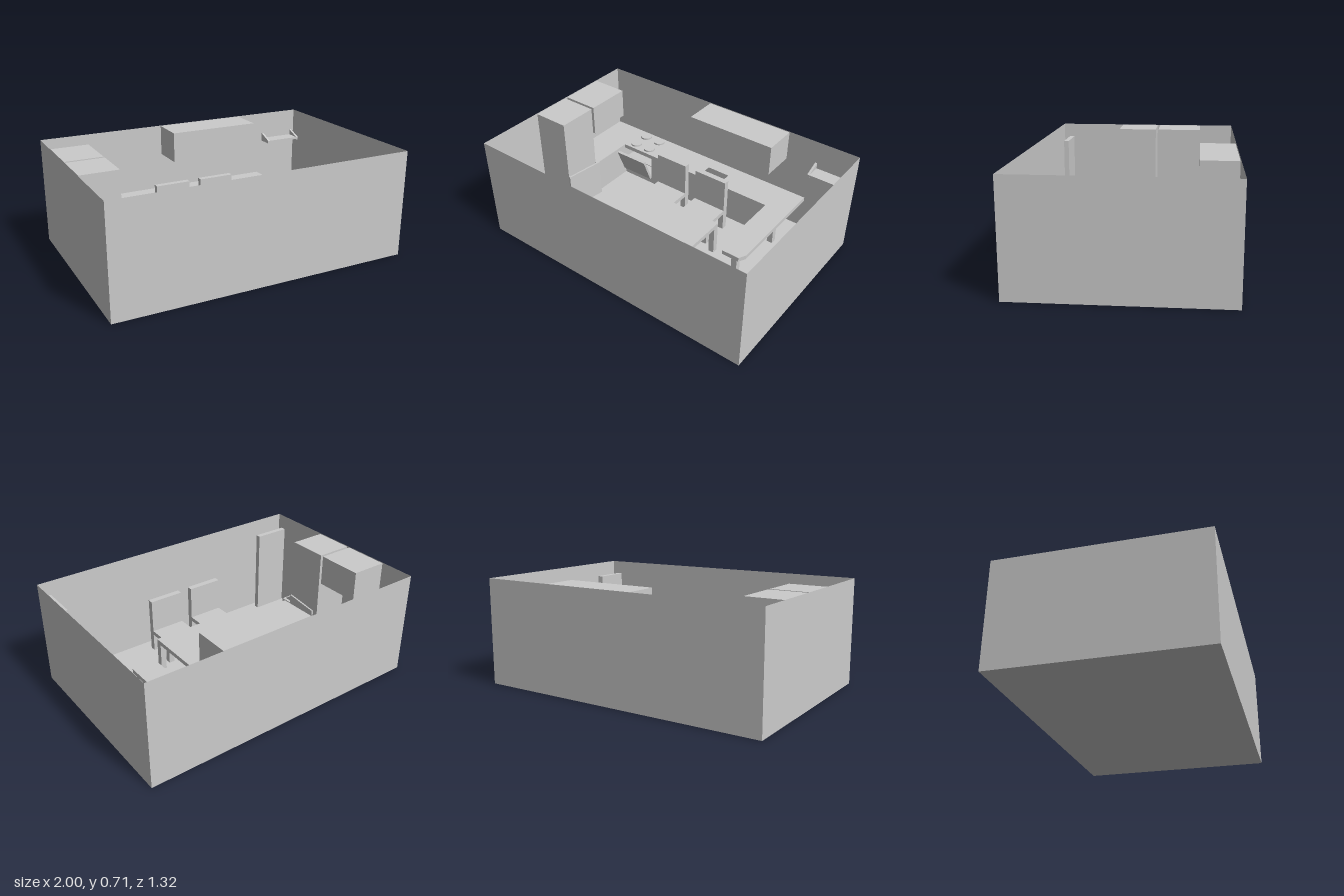
import * as THREE from 'three';

const grey = new THREE.MeshStandardMaterial({ color: 0xcccccc });
const thin = new THREE.MeshStandardMaterial({ color: 0xcccccc, side: THREE.DoubleSide });
const blue = new THREE.MeshStandardMaterial({ color: 0x0000ff });

function add(parent, name, geo, mat = grey) {
  const mesh = new THREE.Mesh(geo, mat);
  mesh.name = name;
  parent.add(mesh);
  return mesh;
}

function group(parent, name) {
  const g = new THREE.Group();
  g.name = name;
  parent.add(g);
  return g;
}

// Box given by its limits on each axis
function box(parent, name, x0, x1, y0, y1, z0, z1) {
  const geo = new THREE.BoxGeometry(x1 - x0, y1 - y0, z1 - z0);
  geo.translate((x0 + x1) / 2, (y0 + y1) / 2, (z0 + z1) / 2);
  return add(parent, name, geo);
}

// Upright prism from a plan outline of [x, z] points, with optional holes
function prism(parent, name, points, y0, y1, holes = []) {
  const toVectors = (list) => list.map(([x, z]) => new THREE.Vector2(x, -z));
  const shape = new THREE.Shape(toVectors(points));
  holes.forEach((h) => shape.holes.push(new THREE.Path(toVectors(h))));
  const geo = new THREE.ExtrudeGeometry(shape, { depth: y1 - y0, bevelEnabled: false });
  geo.rotateX(-Math.PI / 2).translate(0, y0, 0);
  return add(parent, name, geo);
}

const rect = (x0, x1, z0, z1) => [[x0, z0], [x1, z0], [x1, z1], [x0, z1]];

function wall(parent, name, width, x, z, turn) {
  const mesh = add(parent, name, new THREE.PlaneGeometry(width, 0.715), thin);
  mesh.position.set(x, 0.3575, z);
  mesh.rotation.y = turn;
}

// Four square legs inside a rectangle
function legs(parent, x0, x1, z0, z1, h) {
  for (const x of [x0, x1 - 0.04])
    for (const z of [z0, z1 - 0.04]) box(parent, 'leg', x, x + 0.04, 0, h, z, z + 0.04);
}

// Chair centred on x; dir is the side its back is on
function chair(parent, x, z, dir) {
  const g = group(parent, 'chair');
  const s = 0.1225;
  legs(g, -s, s, -s, s, 0.13);
  box(g, 'chairSeat', -s, s, 0.13, 0.16, -s, s);
  box(g, 'chairBack', -s, s, 0.16, 0.395, s - 0.04, s);
  g.position.set(x, 0, z);
  if (dir < 0) g.rotation.y = Math.PI;
}

export function createModel() {
  const room = new THREE.Group();
  room.name = 'kitchen';

  // Room shell, open at the top
  const shell = group(room, 'roomShell');
  const floor = add(shell, 'floor', new THREE.PlaneGeometry(2, 1.32), thin);
  floor.rotation.x = -Math.PI / 2;
  wall(shell, 'frontWall', 2, 0, 0.66, 0);
  wall(shell, 'backWall', 2, 0, -0.66, Math.PI);
  wall(shell, 'leftWall', 1.32, 1, 0, Math.PI / 2);
  wall(shell, 'rightWall', 1.32, -1, 0, -Math.PI / 2);

  // Open doors
  box(room, 'hallDoor', 0.92, 0.96, 0, 0.62, 0.41, 0.657);
  box(room, 'sideDoor', -0.995, -0.745, 0, 0.615, 0.585, 0.62);

  // Base units and worktop
  const units = group(room, 'baseUnits');
  prism(units, 'cornerUnit',
    [[-0.995, -0.655], [-0.745, -0.655], [-0.745, -0.105], [-0.995, -0.105]], 0, 0.25);
  prism(units, 'sinkUnit', rect(-0.49, 0.5, -0.655, -0.42), 0, 0.25, [rect(-0.06, 0.11, -0.555, -0.45)]);
  box(units, 'sinkBottom', -0.06, 0.11, 0.16, 0.17, -0.555, -0.45);

  // Cooker with an open cavity, rings and a tilted door
  const cooker = group(room, 'cooker');
  box(cooker, 'cookerTop', -0.745, -0.49, 0.22, 0.25, -0.655, -0.42);
  box(cooker, 'cookerBase', -0.745, -0.49, 0, 0.05, -0.655, -0.42);
  box(cooker, 'cookerBack', -0.745, -0.49, 0.05, 0.22, -0.655, -0.63);
  box(cooker, 'ovenShelf', -0.745, -0.49, 0.13, 0.135, -0.63, -0.44);
  for (const sx of [-1, 1])
    for (const sz of [-1, 1]) {
      const ring = add(cooker, 'hotplate', new THREE.CylinderGeometry(0.042, 0.042, 0.012, 24));
      ring.position.set(-0.617 + sx * 0.062, 0.256, -0.54 + sz * 0.06);
    }
  const hinge = group(cooker, 'ovenDoor');
  box(hinge, 'ovenDoorPanel', -0.745, -0.49, 0, 0.195, 0, 0.018);
  hinge.position.set(0, 0.05, -0.42);
  hinge.rotation.x = 0.38;

  // Wall cupboards
  box(room, 'backWallCupboard', -0.135, 0.5, 0.505, 0.713, -0.655, -0.42);
  box(room, 'sideWallCupboard', -0.995, -0.745, 0.505, 0.713, -0.417, -0.105);

  // Fridge with its lower door ajar
  const fridge = group(room, 'fridge');
  box(fridge, 'fridgeBody', -0.995, -0.745, 0, 0.713, -0.085, 0.19);
  const door = group(fridge, 'fridgeDoor');
  box(door, 'fridgeDoorPanel', 0, 0.012, 0.02, 0.29, -0.275, 0);
  door.position.set(-0.745, 0, 0.19);
  door.rotation.y = -0.13;

  // Open bin
  const bin = group(room, 'bin');
  prism(bin, 'binWalls', rect(-0.975, -0.765, 0.195, 0.31), 0, 0.2, [rect(-0.955, -0.785, 0.205, 0.3)]);
  box(bin, 'binBottom', -0.955, -0.785, 0.002, 0.012, 0.205, 0.3);

  // Breakfast bar with chamfered end
  const bar = group(room, 'breakfastBar');
  prism(bar, 'barTop', [[0.5, -0.655], [0.67, -0.655], [0.67, 0.09], [0.645, 0.14], [0.525, 0.14], [0.5, 0.09]], 0.22, 0.25);
  for (const z of [0.07, -0.39]) box(bar, 'barLeg', 0.565, 0.605, 0, 0.22, z - 0.02, z + 0.02);

  // Dining table and chairs
  const table = group(room, 'table');
  box(table, 'tableTop', -0.41, 0.34, 0.2, 0.23, -0.085, 0.333);
  legs(table, -0.41, 0.34, -0.085, 0.333, 0.2);
  for (const x of [-0.2025, 0.1275]) {
    chair(room, x, 0.4555, 1);
    chair(room, x, -0.2085, -1);
  }

  // Wall shelf with sloping sides
  const shelf = group(room, 'wallShelf');
  box(shelf, 'shelfBoard', 0.725, 0.965, 0.505, 0.52, -0.655, -0.555);
  const side = new THREE.Shape([[0.655, 0.5], [0.555, 0.5], [0.555, 0.52], [0.655, 0.56]]
    .map(([z, y]) => new THREE.Vector2(z, y)));
  for (const x of [0.71, 0.965]) {
    const geo = new THREE.ExtrudeGeometry(side, { depth: 0.015, bevelEnabled: false });
    geo.rotateY(Math.PI / 2).translate(x, 0, 0);
    add(shelf, 'shelfSide', geo);
  }

  // Balls on the floor
  for (const [x, mat] of [[0.75, blue], [0.917, grey]]) {
    add(room, 'ball', new THREE.SphereGeometry(0.064, 24, 16), mat).position.set(x, 0.064, -0.557);
  }
  return room;
}
